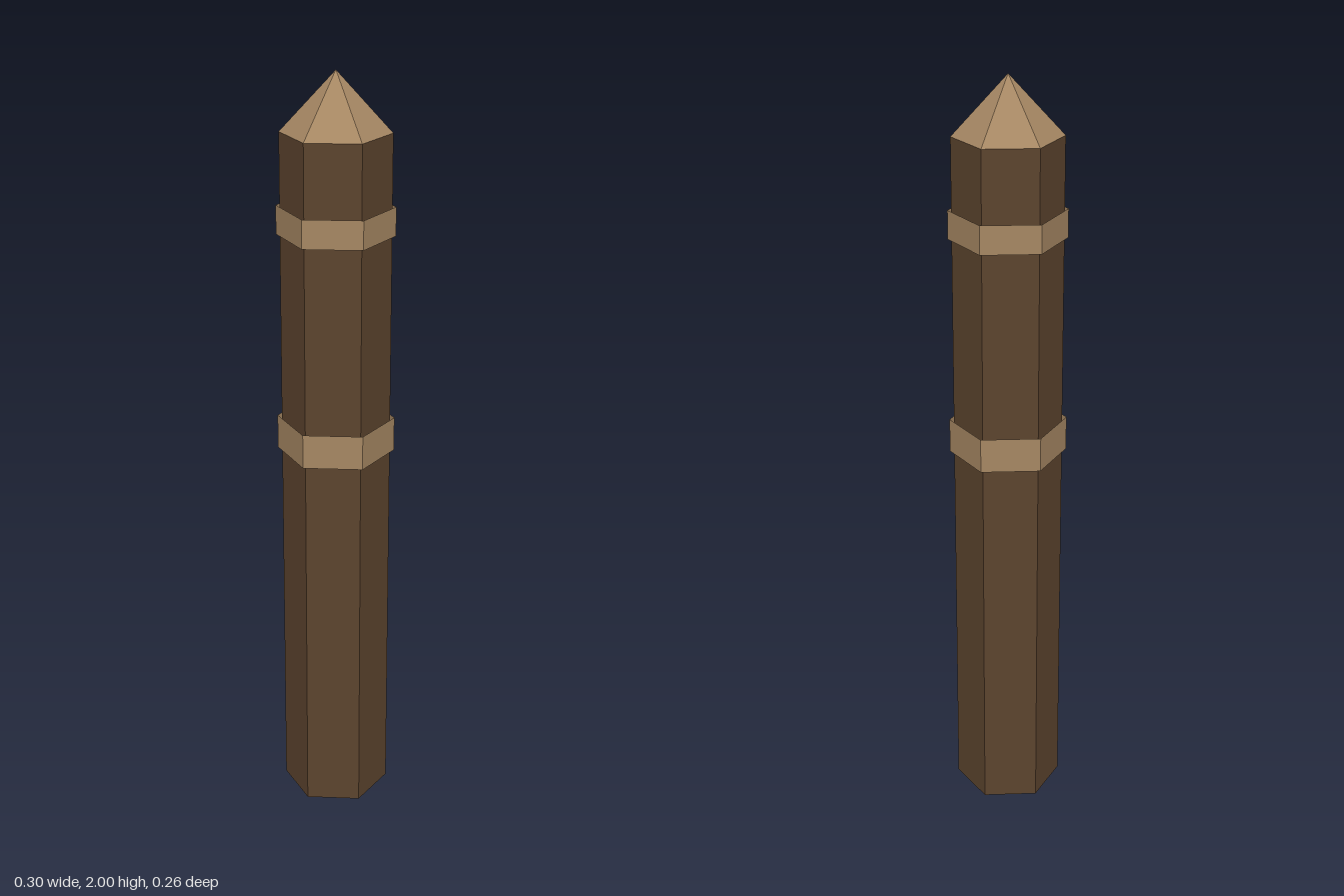
import * as THREE from 'three';

export function createModel() {
  const post = new THREE.Group();
  post.name = 'woodenPost';

  const material = (name, color) => {
    const m = new THREE.MeshStandardMaterial({ color, flatShading: true, side: THREE.DoubleSide });
    m.name = name;
    return m;
  };
  const darkWood = material('darkWood', 0x5c442e);
  const paleWood = material('paleWood', 0xa68763);

  // Open six-sided ring with corners on the x axis
  const addHexRing = (name, mat, rBottom, rTop, yBottom, yTop) => {
    const geometry = new THREE.CylinderGeometry(
      rTop, rBottom, yTop - yBottom, 6, 1, true, Math.PI / 6);
    const mesh = new THREE.Mesh(geometry, mat);
    mesh.name = name;
    mesh.position.y = (yBottom + yTop) / 2;
    post.add(mesh);
  };

  // Slightly tapered shaft, open underneath
  addHexRing('shaft', darkWood, 0.143, 0.139, 0, 1.85);

  // Pointed tip
  addHexRing('tip', paleWood, 0.139, 0, 1.85, 2);

  // Two loose bands around the shaft
  addHexRing('lowerBand', paleWood, 0.152, 0.152, 1.017, 1.108);
  addHexRing('upperBand', paleWood, 0.149, 0.149, 1.594, 1.668);

  return post;
}
